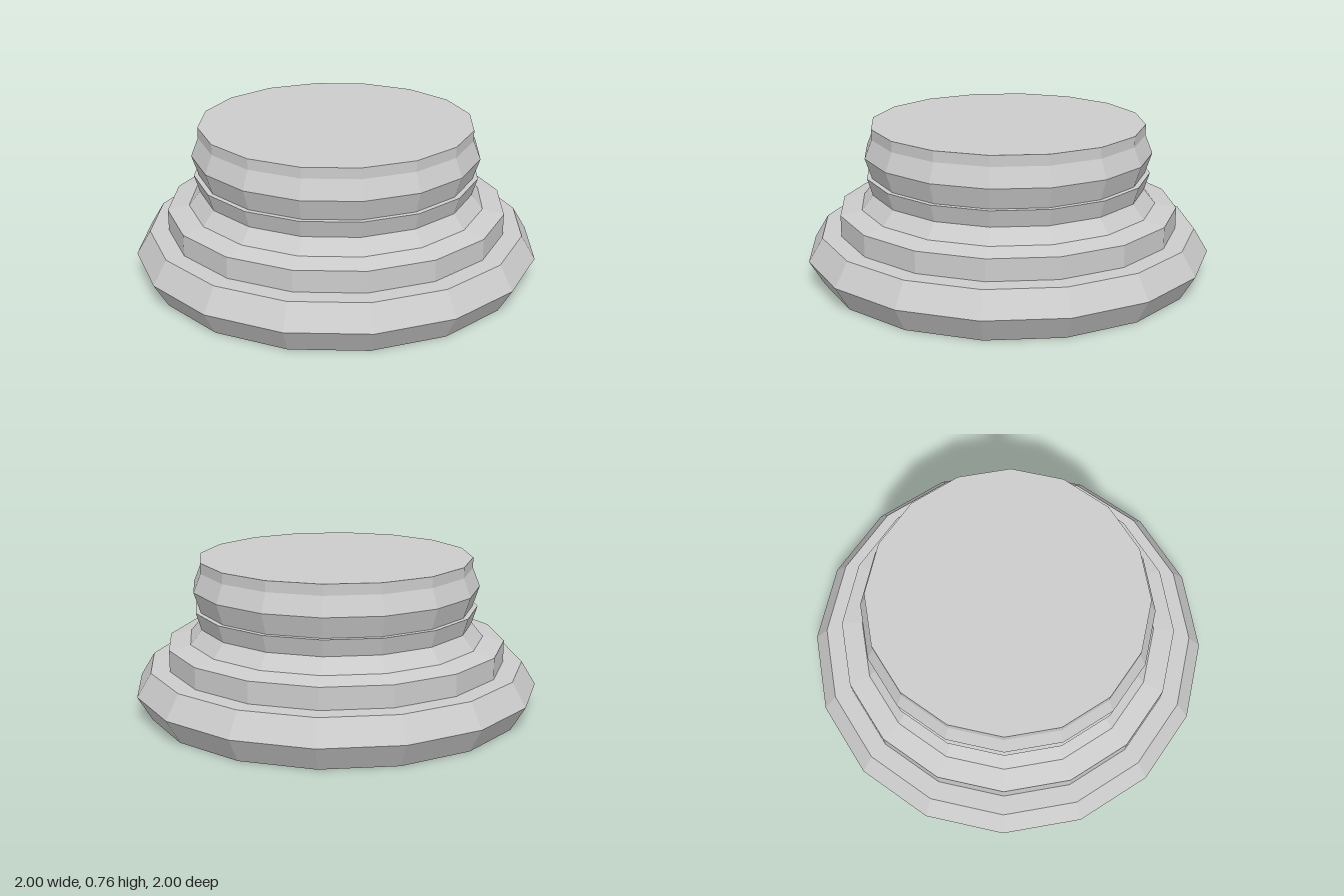
import * as THREE from 'three';

const SIDES = 16;

export function createModel() {
  const model = new THREE.Group();
  model.name = 'roundPedestal';

  const stone = new THREE.MeshStandardMaterial({ color: 0xcccccc, flatShading: true });
  stone.name = 'light grey';

  // Turns a [radius, height] profile, listed from bottom to top
  const turned = (name, profile) => {
    const points = profile.map(([r, y]) => new THREE.Vector2(r, y));
    const mesh = new THREE.Mesh(new THREE.LatheGeometry(points, SIDES), stone);
    mesh.name = name;
    model.add(mesh);
  };

  // Bevelled foot with a closed underside
  turned('foot', [[0, 0], [0.93, 0], [1, 0.12], [0.93, 0.235], [0.838, 0.235]]);

  // Straight step and the sloping shoulder above it
  turned('step', [[0.838, 0.235], [0.838, 0.34], [0.733, 0.36], [0.677, 0.43]]);

  // Flared lower collar with a small ledge
  turned('collar', [[0.677, 0.43], [0.703, 0.514], [0.678, 0.514]]);

  // Cap that swells, narrows and ends in a flat top
  turned('cap', [[0.678, 0.514], [0.711, 0.615], [0.675, 0.705], [0.675, 0.757], [0, 0.757]]);

  return model;
}
